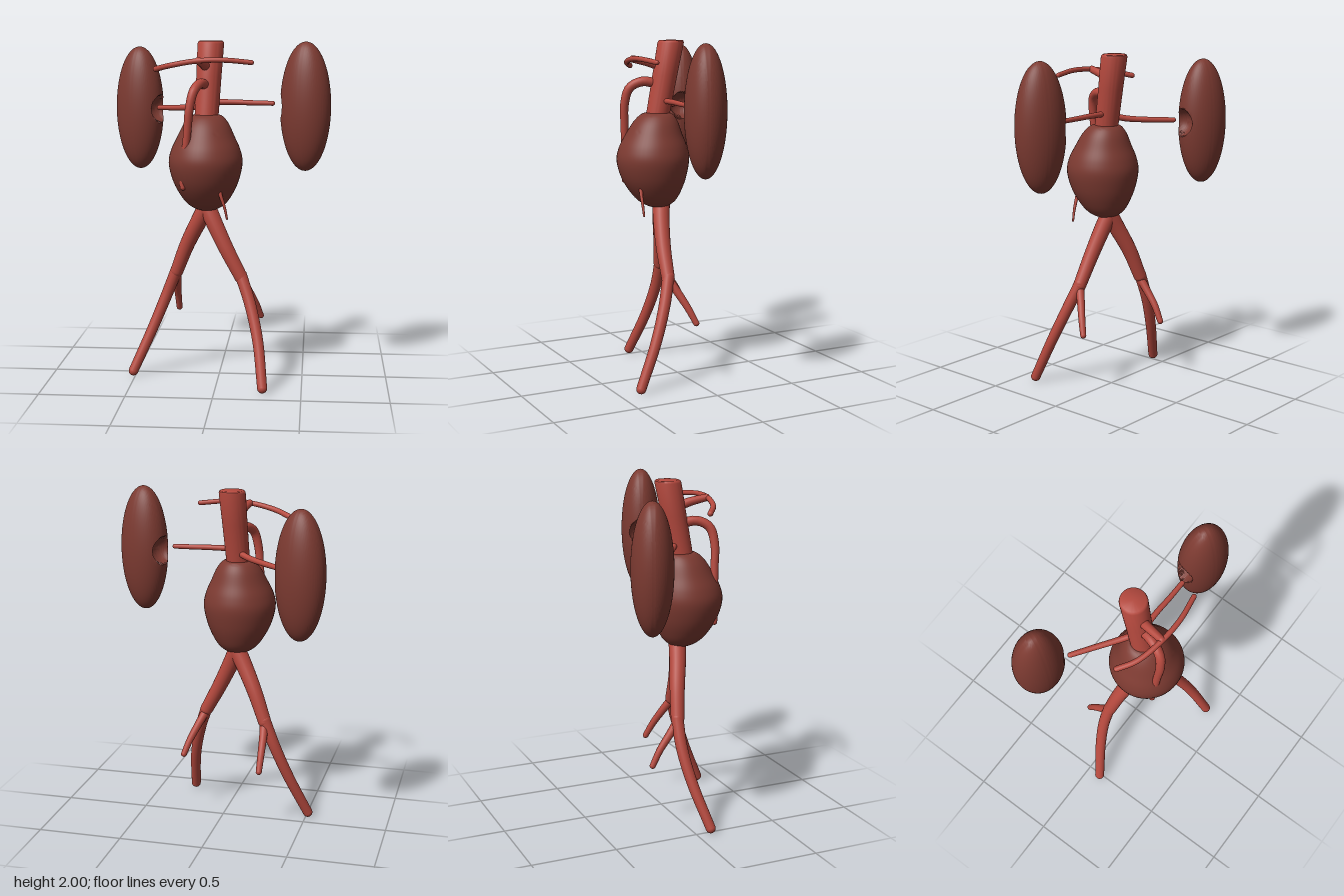
import * as THREE from 'three';
import { toCreasedNormals } from 'three/addons/utils/BufferGeometryUtils.js';

const V = (p) => new THREE.Vector3(...p);

export function createModel() {
  const model = new THREE.Group();
  const vessel = new THREE.MeshStandardMaterial({ name: 'vessel red', color: 0xb5493e });
  const organ = new THREE.MeshStandardMaterial({ name: 'organ dark red', color: 0x7c3a31 });

  function add(name, geometry, material, parent = model) {
    const mesh = new THREE.Mesh(geometry, material);
    mesh.name = name;
    parent.add(mesh);
    return mesh;
  }

  // Tapered vessel along a smooth path, with rounded ends
  function branch(name, points, r0, r1) {
    const group = new THREE.Group();
    group.name = name;
    model.add(group);
    const curve = new THREE.CatmullRomCurve3(points.map(V));
    const steps = 32, sides = 20;
    const geo = new THREE.TubeGeometry(curve, steps, 1, sides);
    const pos = geo.attributes.position;
    const p = new THREE.Vector3();
    for (let i = 0; i <= steps; i++) {
      const centre = curve.getPointAt(i / steps);
      const r = r0 + (r1 - r0) * i / steps;
      for (let j = 0; j <= sides; j++) {
        const k = i * (sides + 1) + j;
        p.fromBufferAttribute(pos, k).sub(centre).multiplyScalar(r).add(centre);
        pos.setXYZ(k, p.x, p.y, p.z);
      }
    }
    add(name + 'Tube', geo, vessel, group);
    [[points[0], r0], [points[points.length - 1], r1]].forEach(([c, r]) =>
      add(name + 'End', new THREE.SphereGeometry(r, 20, 14), vessel, group).position.set(...c));
  }

  // Lathed body whose horizontal sections follow a leaning or bowed axis
  function leaningLathe(name, profile, axis, material, crease) {
    let geo = new THREE.LatheGeometry(profile, 48);
    const pos = geo.attributes.position;
    for (let i = 0; i < pos.count; i++) {
      const [x, z] = axis(pos.getY(i));
      pos.setXYZ(i, pos.getX(i) + x, pos.getY(i), pos.getZ(i) + z);
    }
    geo.computeVertexNormals();
    geo = toCreasedNormals(geo, crease);
    add(name, geo, material);
  }

  // Main trunk, cut level at the top
  const trunk = [[0.068, 1.5], [0.07, 1.62], [0.073, 1.8], [0.077, 1.985], [0.074, 1.995], [0.067, 2], [0, 2]]
    .map(([r, y]) => new THREE.Vector2(r, y));
  leaningLathe('trunkVessel', trunk,
    (y) => [-0.047 - (2 - y) * 0.045, 0.018 + (2 - y) * 0.18], vessel, 0.7);

  // Swollen sac
  const sac = new THREE.CatmullRomCurve3([
    [0, 1.02, 0], [0.05, 1.025, 0], [0.11, 1.06, 0], [0.16, 1.13, 0], [0.195, 1.21, 0], [0.214, 1.31, 0],
    [0.2, 1.38, 0], [0.168, 1.45, 0], [0.125, 1.535, 0], [0.085, 1.575, 0], [0.04, 1.58, 0], [0, 1.58, 0],
  ].map(V)).getPoints(60).map((p) => new THREE.Vector2(Math.max(0, p.x), p.y));
  leaningLathe('swollenSac', sac, (y) => {
    const t = (y - 1.31) / 0.28;
    return [-0.069 + 0.004 * t * t, 0.128 - 0.03 * t * t];
  }, organ, 1.2);

  // Kidneys: ellipsoids with a round hollow facing the trunk
  function kidney(name, centre, side) {
    const [a, h, b, hollow] = [0.15, 0.371, 0.118, 0.08];
    let geo = new THREE.SphereGeometry(1, 72, 110);
    geo.rotateZ(-Math.PI / 2);
    geo.scale(a, h, b);
    const pos = geo.attributes.position;
    for (let i = 0; i < pos.count; i++) {
      const x = pos.getX(i), y = pos.getY(i), z = pos.getZ(i);
      if (x > 0 && Math.hypot(x - a, y, z) < hollow) {
        pos.setX(i, a - Math.sqrt(hollow * hollow - y * y - z * z));
      }
    }
    geo = toCreasedNormals(geo, 0.7);
    const mesh = add(name, geo, organ);
    mesh.position.set(...centre);
    mesh.rotation.y = side > 0 ? Math.PI - 0.36 : -0.36;
  }
  kidney('rightKidney', [-0.508, 1.588, -0.278], -1);
  kidney('leftKidney', [0.504, 1.627, 0.086], 1);

  // Kidney arteries
  branch('rightKidneyArtery', [[-0.07, 1.635, 0.06], [-0.15, 1.615, 0], [-0.25, 1.605, -0.075], [-0.375, 1.598, -0.165]], 0.019, 0.015);
  branch('leftKidneyArtery', [[-0.03, 1.65, 0.075], [0.1, 1.65, 0.075], [0.2, 1.647, 0.08], [0.315, 1.645, 0.082]], 0.017, 0.014);

  // Upper forked artery
  branch('upperStem', [[-0.06, 1.84, 0.06], [-0.08, 1.87, 0.14], [-0.1, 1.893, 0.24]], 0.029, 0.021);
  branch('upperCrossBranch', [[-0.355, 1.842, 0.14], [-0.26, 1.866, 0.205], [-0.11, 1.892, 0.245],
    [0.04, 1.898, 0.255], [0.2, 1.884, 0.232]], 0.016, 0.014);

  // Hooked front artery, partly sunk into the sac
  branch('hookedArtery', [[-0.065, 1.74, 0.07], [-0.095, 1.762, 0.18], [-0.125, 1.725, 0.25], [-0.147, 1.63, 0.273],
    [-0.16, 1.5, 0.268], [-0.172, 1.38, 0.262], [-0.188, 1.26, 0.255], [-0.188, 1.175, 0.255]], 0.03, 0.018);

  // Thin lower artery
  branch('thinLowerArtery', [[0, 1.24, 0.24], [0.028, 1.13, 0.252], [0.05, 1.06, 0.252], [0.064, 0.995, 0.25]], 0.014, 0.006);

  // Right leg branches
  branch('rightUpperLeg', [[-0.066, 1.04, 0.075], [-0.115, 0.95, 0.055], [-0.19, 0.8, 0.018], [-0.257, 0.63, -0.01]], 0.052, 0.039);
  branch('rightOuterLeg', [[-0.257, 0.64, -0.012], [-0.32, 0.48, -0.012], [-0.4, 0.285, 0.018], [-0.512, 0.032, 0.086]], 0.036, 0.029);
  branch('rightInnerBranch', [[-0.255, 0.62, -0.01], [-0.26, 0.55, -0.06], [-0.262, 0.46, -0.125], [-0.26, 0.37, -0.17]], 0.026, 0.018);

  // Left leg branches
  branch('leftUpperLeg', [[-0.066, 1.04, 0.075], [-0.025, 0.95, 0.095], [0.048, 0.8, 0.118], [0.138, 0.63, 0.132]], 0.052, 0.039);
  branch('leftOuterLeg', [[0.138, 0.64, 0.13], [0.195, 0.48, 0.185], [0.245, 0.28, 0.265], [0.277, 0.032, 0.375]], 0.036, 0.029);
  branch('leftInnerBranch', [[0.14, 0.62, 0.13], [0.18, 0.54, 0.085], [0.222, 0.45, 0.04], [0.25, 0.37, 0.005]], 0.026, 0.018);

  return model;
}
